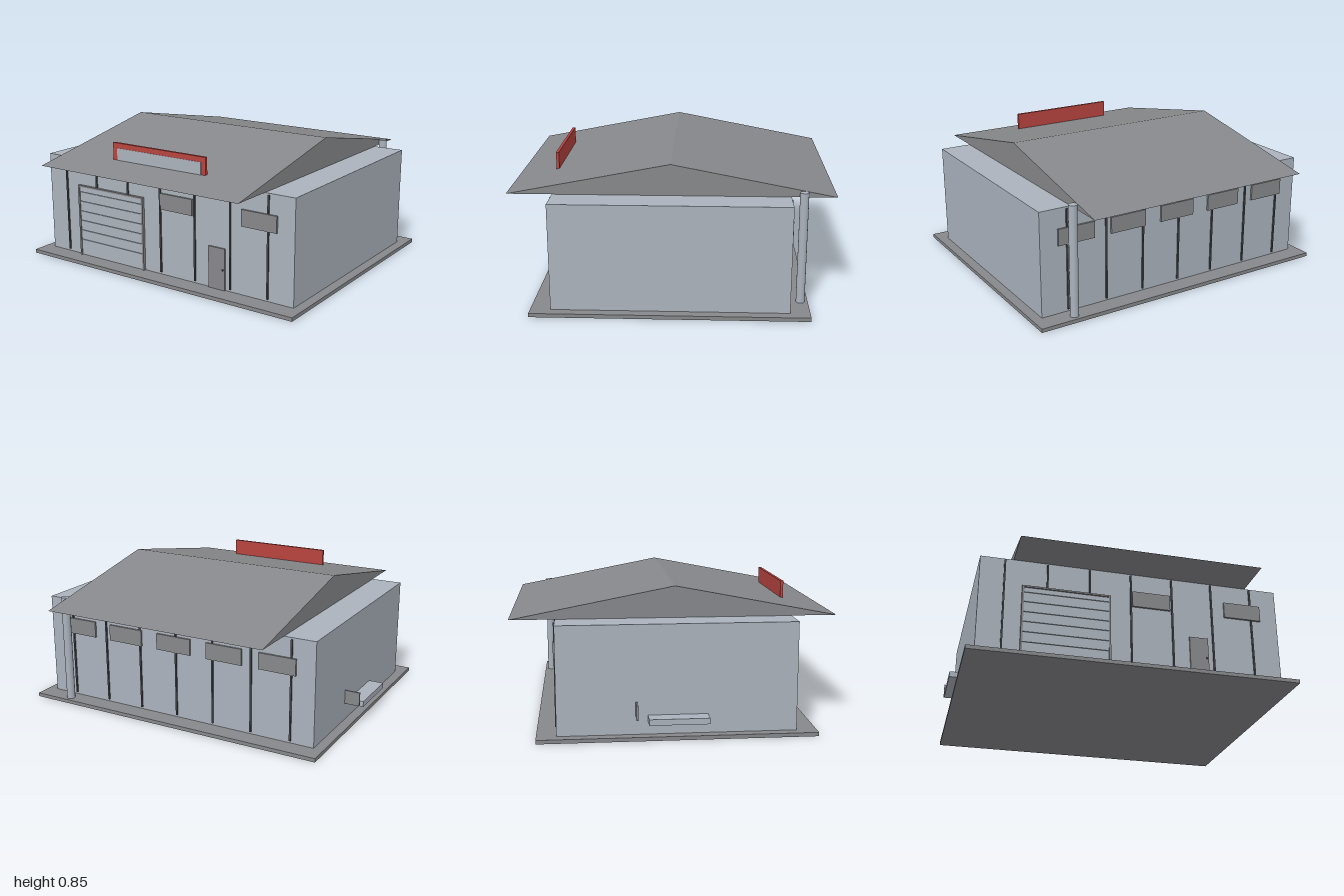
import * as THREE from 'three';

const mat = (name, color) => {
  const m = new THREE.MeshStandardMaterial({ color });
  m.name = name;
  return m;
};

export function createModel() {
  const wall = mat('pale blue grey', 0xabb3bd);
  const grey = mat('mid grey', 0x87888b);
  const dark = mat('dark grey', 0x4b4e51);
  const red = mat('red', 0xb8443f);

  const model = new THREE.Group();
  model.name = 'warehouse';

  // Box given by its minimum and maximum corners
  const box = (name, material, [x0, y0, z0], [x1, y1, z1], parent = model) => {
    const mesh = new THREE.Mesh(new THREE.BoxGeometry(x1 - x0, y1 - y0, z1 - z0), material);
    mesh.position.set((x0 + x1) / 2, (y0 + y1) / 2, (z0 + z1) / 2);
    mesh.name = name;
    parent.add(mesh);
    return mesh;
  };
  const group = (name) => {
    const g = new THREE.Group();
    g.name = name;
    model.add(g);
    return g;
  };

  const FRONT = 0.687, BACK = -0.695;

  // Slab and main hall
  box('foundation', grey, [-0.967, 0, -0.81], [0.995, 0.023, 0.805]);
  box('hall', wall, [-0.907, 0.023, BACK], [0.935, 0.66, FRONT]);

  // Gabled roof: triangle in z-y, extruded along x
  const gable = new THREE.Shape();
  gable.moveTo(-0.955, 0.66);
  gable.lineTo(0.96, 0.66);
  gable.lineTo(0, 0.845);
  const roofGeometry = new THREE.ExtrudeGeometry(gable, { depth: 1.45, bevelEnabled: false });
  roofGeometry.rotateY(Math.PI / 2);
  roofGeometry.translate(-0.71, 0, 0);
  const roof = new THREE.Mesh(roofGeometry, grey);
  roof.name = 'roof';
  model.add(roof);

  // Wall seams on front and back; two stop above the roller door
  const seams = group('wallSeams');
  [-0.76, -0.505, -0.25, 0.002, 0.258, 0.51, 0.765].forEach((x, i) => {
    const bottom = i === 1 || i === 2 ? 0.49 : 0.037;
    box('frontSeam', dark, [x - 0.005, bottom, FRONT], [x + 0.005, 0.65, FRONT + 0.009], seams);
    box('backSeam', dark, [x - 0.005, 0.037, BACK - 0.009], [x + 0.005, 0.65, BACK], seams);
  });

  // Windows: two in front, five behind
  const windows = group('windows');
  for (const x of [0.127, 0.707])
    box('frontWindow', grey, [x - 0.117, 0.44, FRONT], [x + 0.117, 0.54, FRONT + 0.012], windows);
  for (let i = 0; i < 5; i++) {
    const x = 0.707 - i * 0.345;
    box('backWindow', grey, [x - 0.117, 0.44, BACK - 0.012], [x + 0.117, 0.54, BACK], windows);
  }

  // Roller door: backing, frame and slats
  const roller = group('rollerDoor');
  box('doorBacking', dark, [-0.65, 0.023, FRONT], [-0.13, 0.485, FRONT + 0.006], roller);
  for (const x of [-0.655, -0.137])
    box('doorPost', grey, [x, 0.023, FRONT], [x + 0.012, 0.49, FRONT + 0.018], roller);
  box('doorLintel', grey, [-0.643, 0.48, FRONT], [-0.137, 0.49, FRONT + 0.018], roller);
  const joints = [0.023, 0.128, 0.192, 0.257, 0.32, 0.385, 0.447, 0.48];
  for (let i = 0; i < joints.length - 1; i++)
    box('slat', wall, [-0.643, joints[i] + 0.002, FRONT], [-0.137, joints[i + 1] - 0.002, FRONT + 0.012], roller);

  // Entrance door with handle
  box('entranceDoor', grey, [0.36, 0.023, FRONT], [0.475, 0.28, FRONT + 0.01]);
  box('doorHandle', dark, [0.46, 0.145, FRONT + 0.01], [0.467, 0.155, FRONT + 0.016]);

  // Roof sign with a pale face inside a red frame
  const sign = group('roofSign');
  box('signBoard', red, [-0.33, 0.68, 0.702], [0.36, 0.812, 0.72], sign);
  box('signFace', wall, [-0.298, 0.69, 0.72], [0.328, 0.78, 0.722], sign);

  // Vertical flue behind the hall
  const flue = new THREE.Mesh(new THREE.CylinderGeometry(0.026, 0.026, 0.672, 14), wall);
  flue.position.set(0.764, 0.359, -0.766);
  flue.name = 'flue';
  model.add(flue);

  // Ledge and upright plate on the side wall
  box('sideLedge', wall, [-1, 0.1, -0.175], [-0.907, 0.135, 0.17]);
  box('sidePlate', grey, [-1, 0.13, -0.245], [-0.907, 0.215, -0.235]);

  return model;
}
